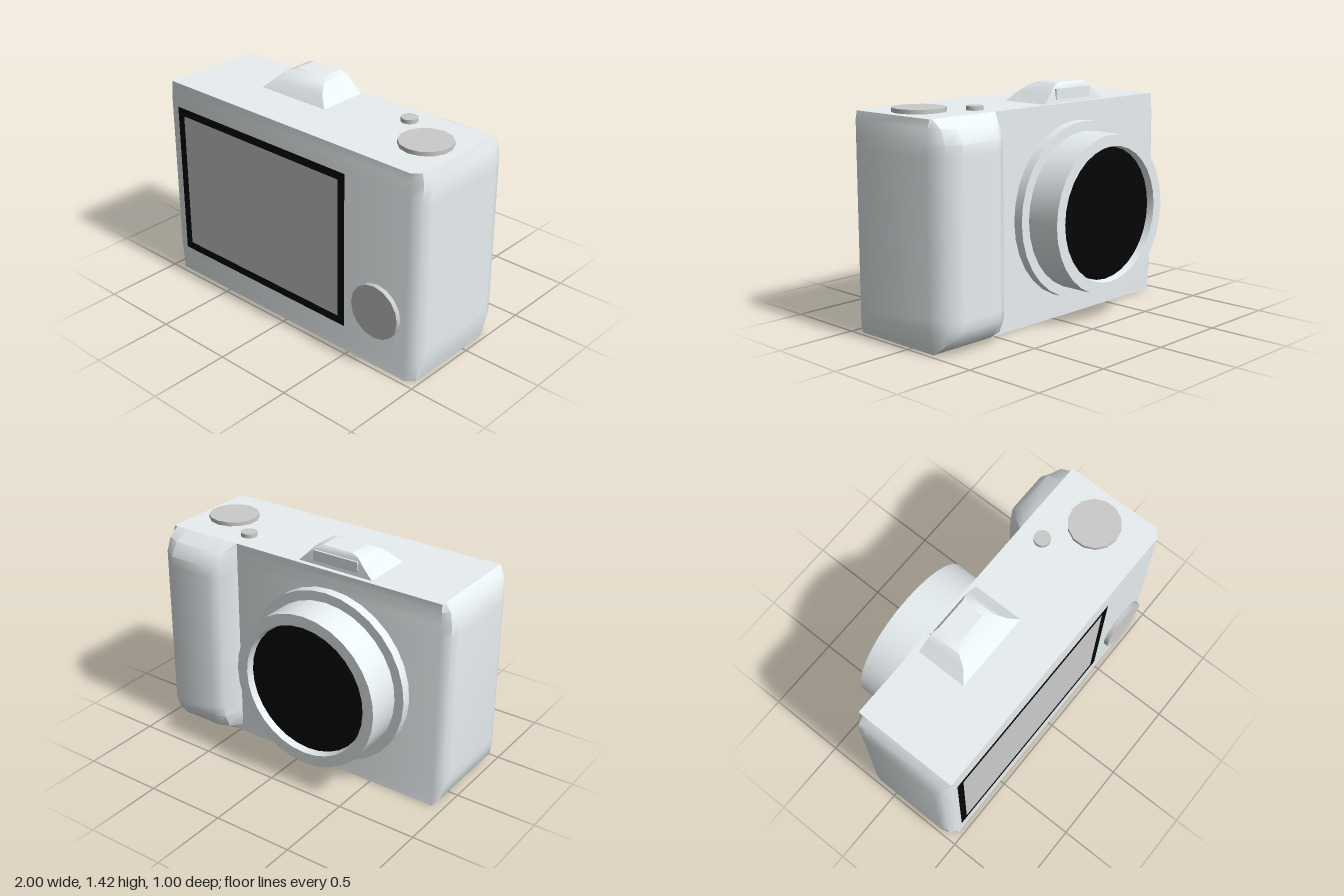
import * as THREE from 'three';
import { mergeGeometries, toCreasedNormals } from 'three/addons/utils/BufferGeometryUtils.js';

const mat = (color) => new THREE.MeshStandardMaterial({ color, side: THREE.DoubleSide });
const shell = mat(0xe9f0f2), grey = mat(0xcccccc), black = mat(0x050505);

// Closed loft through horizontal rings [[x, z], ...] (anticlockwise from above) with flat caps
function loft(levels, crease) {
  const n = levels[0].ring.length, pos = [], idx = [];
  levels.forEach(({ y, ring }) => ring.forEach(([x, z]) => pos.push(x, y, z)));
  for (let i = 0; i < levels.length - 1; i++) {
    for (let j = 0; j < n; j++) {
      const a = i * n + j, b = i * n + (j + 1) % n;
      idx.push(a, b, b + n, a, b + n, a + n);
    }
  }
  const side = new THREE.BufferGeometry();
  side.setAttribute('position', new THREE.Float32BufferAttribute(pos, 3));
  side.setIndex(idx);

  const cap = ({ y, ring }, up) => {
    const cx = (Math.min(...ring.map((p) => p[0])) + Math.max(...ring.map((p) => p[0]))) / 2;
    const cz = (Math.min(...ring.map((p) => p[1])) + Math.max(...ring.map((p) => p[1]))) / 2;
    const v = [];
    ring.forEach((p, j) => {
      const q = ring[(j + 1) % n];
      const [s, t] = up ? [p, q] : [q, p];
      v.push(cx, y, cz, s[0], y, s[1], t[0], y, t[1]);
    });
    const g = new THREE.BufferGeometry();
    g.setAttribute('position', new THREE.Float32BufferAttribute(v, 3));
    g.computeVertexNormals();
    return g;
  };
  return mergeGeometries([
    toCreasedNormals(side.toNonIndexed(), crease),
    cap(levels[0], false),
    cap(levels[levels.length - 1], true),
  ]);
}

export function createModel() {
  const model = new THREE.Group();
  const add = (name, geometry, material, x = 0, y = 0, z = 0) => {
    const mesh = new THREE.Mesh(geometry, material);
    mesh.name = name;
    mesh.position.set(x, y, z);
    model.add(mesh);
    return mesh;
  };

  // Body with hand grip: one plan outline, drawn in towards top and bottom
  const BACK = -0.18;
  const plan = [
    [0.92, 0.47], [0.98, 0.43], [1, 0.38], [1, BACK], [0.95, -0.28], [0.87, -0.33],
    [0.6, -0.33], [0.53, -0.29], [0.48, BACK],
    [-0.93, BACK], [-0.98, -0.15], [-1, -0.1], [-1, 0.39], [-0.98, 0.44], [-0.93, 0.47],
  ];
  const bodyRing = (y, grip, left, right) => ({
    y,
    ring: plan.map(([x, z]) => [
      THREE.MathUtils.clamp(x, -1 + right, 1 - left),
      z < BACK ? BACK + (z - BACK) * grip : z,
    ]),
  });
  add('body', loft([
    bodyRing(0, 0, 0.03, 0.07),
    bodyRing(0.05, 0.67, 0.018, 0.03),
    bodyRing(0.14, 1, 0, 0.005),
    bodyRing(0.2, 1, 0, 0),
    bodyRing(1.1, 1, 0, 0),
    bodyRing(1.17, 1, 0, 0.005),
    bodyRing(1.25, 0.67, 0.018, 0.03),
    bodyRing(1.3, 0, 0.03, 0.07),
  ], 0.72), shell);

  // Flash hump on top, with the flash window on its lens side
  const humpRing = (y, x0, x1, z0, z1) => ({ y, ring: [[x1, z1], [x1, z0], [x0, z0], [x0, z1]] });
  add('flashHump', loft([
    humpRing(1.3, -0.46, 0.04, -0.15, 0.17),
    humpRing(1.36, -0.4, -0.02, -0.143, 0.12),
    humpRing(1.405, -0.36, -0.06, -0.135, 0.06),
    humpRing(1.42, -0.31, -0.11, -0.12, 0.02),
  ], 0.7), shell);
  add('flashWindow', new THREE.BoxGeometry(0.3, 0.065, 0.05), shell, -0.21, 1.353, -0.125);

  // Screen and its dark border
  const border = new THREE.Shape([[-0.68, -0.49], [0.68, -0.49], [0.68, 0.49], [-0.68, 0.49]]
    .map((p) => new THREE.Vector2(...p)));
  border.holes.push(new THREE.Path([[-0.63, -0.44], [-0.63, 0.44], [0.63, 0.44], [0.63, -0.44]]
    .map((p) => new THREE.Vector2(...p))));
  add('screenBorder', new THREE.ShapeGeometry(border), black, -0.21, 0.655, 0.473);
  add('screen', new THREE.PlaneGeometry(1.26, 0.88), grey, -0.21, 0.655, 0.473);

  // Lens: stepped barrel with a recessed, shallow conical glass
  const turned = (points, crease) => {
    const g = new THREE.LatheGeometry(points.map((p) => new THREE.Vector2(...p)), 32);
    g.rotateX(-Math.PI / 2);
    g.deleteAttribute('normal');
    g.deleteAttribute('uv');
    return toCreasedNormals(g.toNonIndexed(), crease);
  };
  add('lensBarrel', turned([
    [0.54, 0.17], [0.54, 0.24], [0.48, 0.24], [0.48, 0.457], [0.41, 0.457], [0.4, 0.41],
  ], 0.6), shell, -0.21, 0.65, 0);
  add('lensGlass', turned([[0.403, 0.413], [0, 0.5]], 0.6), black, -0.21, 0.65, 0);

  // Control dial beside the screen, mode dial and shutter button on top
  const disc = (r, h, sides) => new THREE.CylinderGeometry(r, r, h, sides);
  add('controlDial', disc(0.168, 0.04, 16), grey, 0.715, 0.38, 0.48).rotation.x = Math.PI / 2;
  add('modeDial', disc(0.156, 0.035, 14), grey, 0.76, 1.3075, 0.14);
  add('shutterButton', disc(0.05, 0.035, 14), grey, 0.5, 1.3075, -0.037);

  return model;
}
